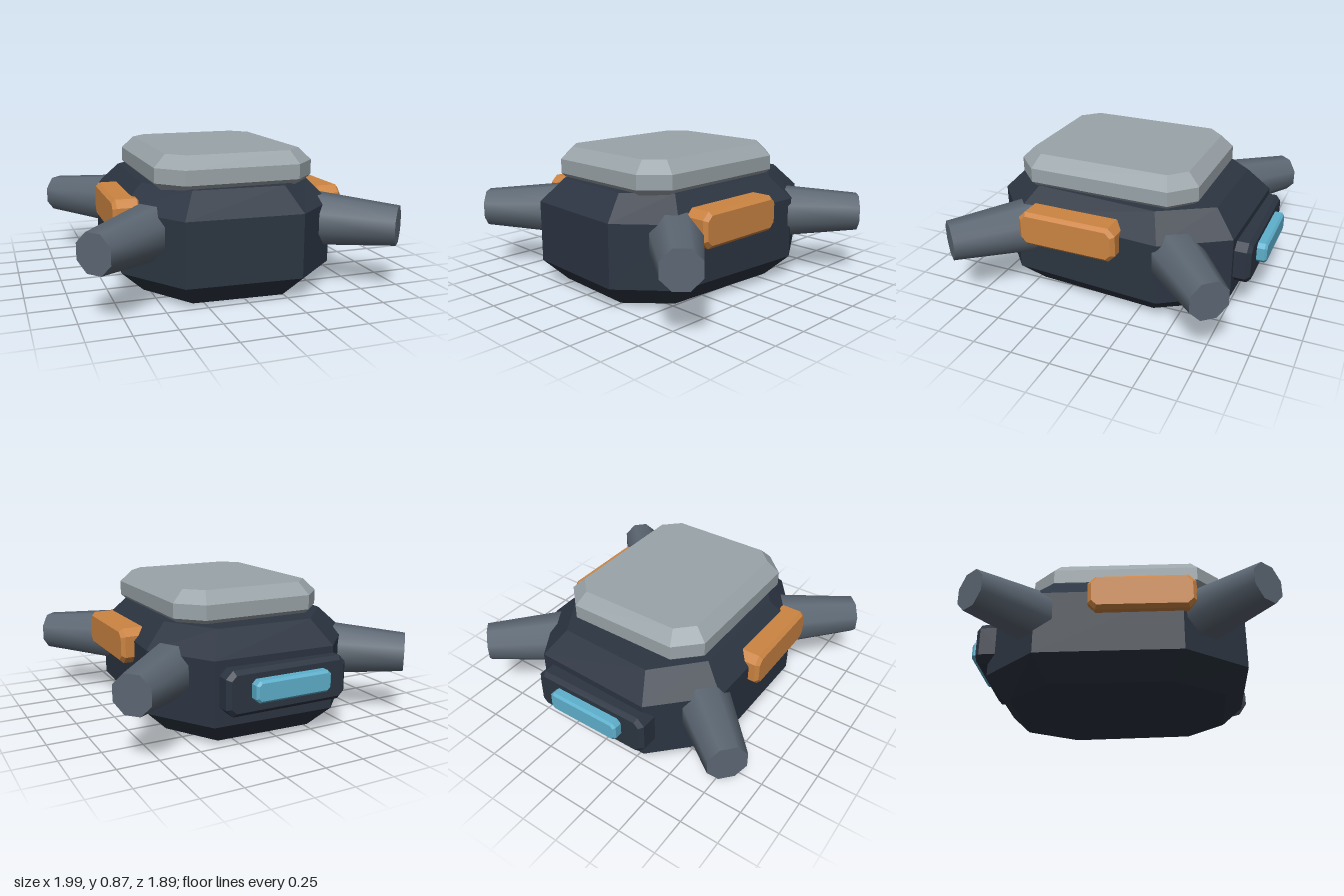
import * as THREE from 'three';

const paint = (name, color) => {
  const m = new THREE.MeshStandardMaterial({ color });
  m.name = name;
  return m;
};

// Flat-faced solid from stacked rings of [x, z] points; order runs +x along the front.
function loft(rings) {
  const pos = [];
  const tri = (...pts) => pts.forEach(p => pos.push(...p));
  const r3 = rings.map(({ y, pts }) => pts.map(([x, z]) => [x, y, z]));
  const n = r3[0].length;
  for (let k = 0; k < r3.length - 1; k++) {
    for (let i = 0; i < n; i++) {
      const j = (i + 1) % n, lo = r3[k], hi = r3[k + 1];
      tri(lo[i], lo[j], hi[j]);
      tri(lo[i], hi[j], hi[i]);
    }
  }
  const bottom = r3[0], top = r3[r3.length - 1];
  for (let i = 1; i < n - 1; i++) {
    tri(top[0], top[i], top[i + 1]);
    tri(bottom[0], bottom[i + 1], bottom[i]);
  }
  const g = new THREE.BufferGeometry();
  g.setAttribute('position', new THREE.Float32BufferAttribute(pos, 3));
  g.computeVertexNormals();
  return g;
}

// Rectangular slab, thickness along y, with cut corners and bevelled rims.
function slab(w, d, t, cut, bevel) {
  const ring = (y, inset) => {
    const a = w / 2 - inset, b = d / 2 - inset, c = cut - 0.586 * inset;
    return {
      y, pts: [[-a + c, b], [a - c, b], [a, b - c], [a, -b + c],
        [a - c, -b], [-a + c, -b], [-a, -b + c], [-a, b - c]],
    };
  };
  const h = t / 2;
  return loft([ring(-h, bevel), ring(-h + bevel, 0), ring(h - bevel, 0), ring(h, bevel)]);
}

export function createModel() {
  const model = new THREE.Group();
  const dark = paint('dark navy', 0x2c3542);
  const steel = paint('slate grey', 0x5c6773);
  const pale = paint('pale grey', 0x9aa4a9);
  const orange = paint('orange', 0xcc8442);
  const blue = paint('light blue', 0x5eb0cc);

  const add = (name, geometry, material, x, y, z) => {
    const mesh = new THREE.Mesh(geometry, material);
    mesh.name = name;
    mesh.position.set(x, y, z);
    model.add(mesh);
    return mesh;
  };

  // Slightly uneven eight-sided hull, tapered at top and bottom
  const outline = [[-0.4, 0.79], [0.31, 0.825], [0.61, 0.56], [0.675, -0.4],
    [0.43, -0.785], [-0.35, -0.81], [-0.67, -0.48], [-0.68, 0.4]];
  const inner = outline.map(([x, z]) => [x * 0.79, z * 0.83]);
  add('hull', loft([
    { y: 0, pts: inner }, { y: 0.14, pts: outline },
    { y: 0.53, pts: outline }, { y: 0.675, pts: inner },
  ]), dark, 0, 0, 0);

  // Top cover plate
  add('topPlate', slab(1.0, 1.19, 0.24, 0.145, 0.075), pale, 0, 0.745, 0.055);

  // Four tapered arms reaching out to the corners
  const length = 0.62;
  const armGeometry = new THREE.CylinderGeometry(0.124, 0.182, length, 8);
  armGeometry.rotateY(Math.PI / 8);
  const up = new THREE.Vector3(0, 1, 0);
  for (const sx of [1, -1]) {
    for (const [name, sz, tipZ] of [['frontArm', 1, 0.855], ['backArm', -1, -0.8]]) {
      const dir = new THREE.Vector3(sx * 0.745, 0, sz * 0.667).normalize();
      const arm = add(name + (sx > 0 ? 'Left' : 'Right'), armGeometry, steel,
        sx * 0.918 - dir.x * length / 2, 0.418, tipZ - dir.z * length / 2);
      // Keep a flat side of the octagon facing up
      const side = new THREE.Vector3().crossVectors(dir, up);
      arm.quaternion.setFromRotationMatrix(new THREE.Matrix4().makeBasis(up, dir, side.negate()));
    }
    // Side pod
    const pod = add(sx > 0 ? 'sidePodLeft' : 'sidePodRight',
      slab(0.22, 0.64, 0.17, 0.045, 0.022), orange, sx * 0.652, 0.495, 0.16);
    pod.rotation.z = -sx * Math.PI / 2;
  }

  // Rear housing and its light bar
  const housing = add('rearHousing', slab(0.8, 0.27, 0.2, 0.045, 0.025), dark, 0, 0.352, -0.786);
  const light = add('rearLight', slab(0.5, 0.13, 0.09, 0.025, 0.014), blue, 0, 0.365, -0.902);
  housing.rotation.x = light.rotation.x = -Math.PI / 2;

  return model;
}
